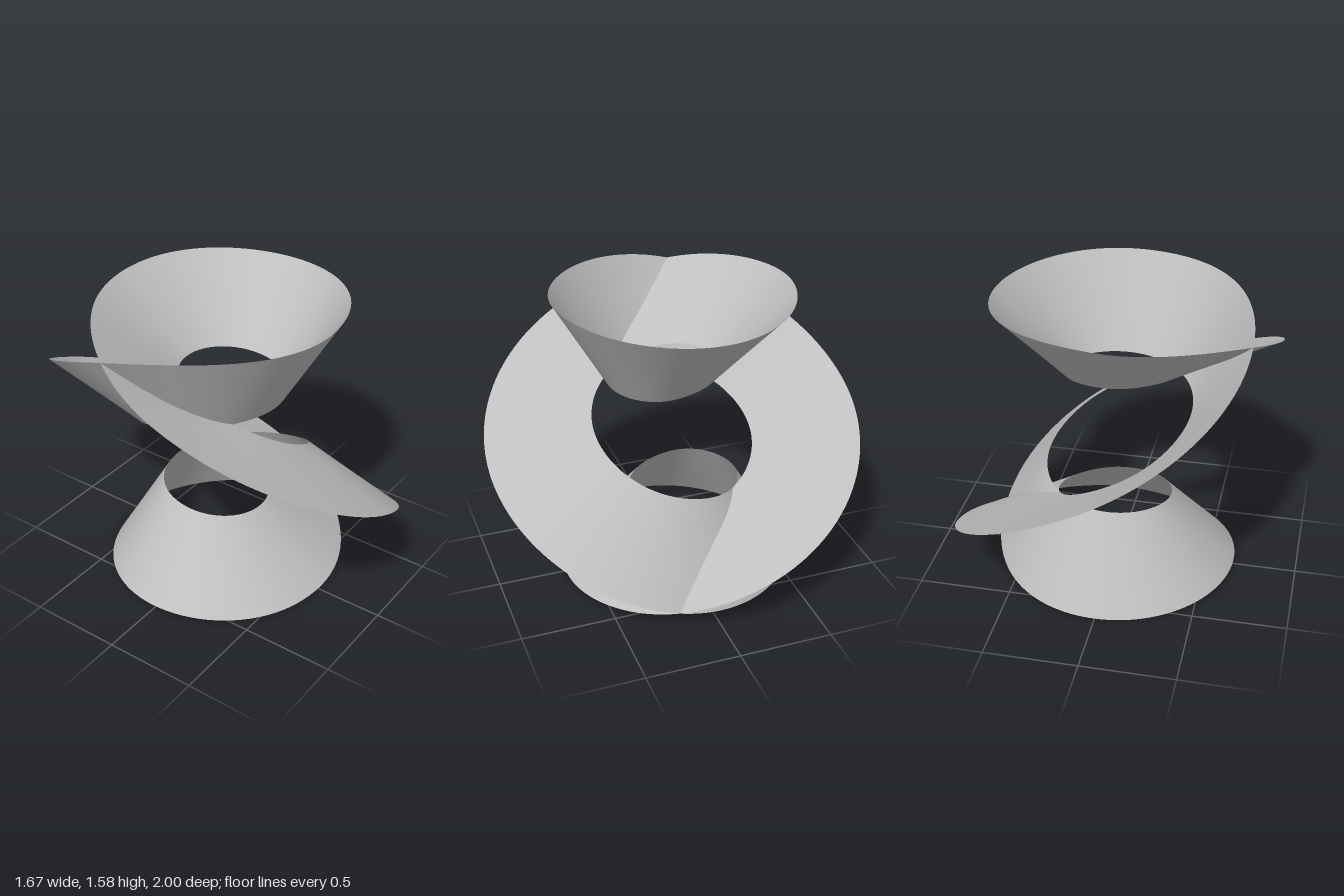
import * as THREE from 'three';

const RAD = Math.PI / 180;
const CENTRE_Y = 0.795;

// Latitude knots [azimuth, latitude] in degrees over one half (540 degrees);
// the other half repeats them with the sign flipped.
const outerEdge = {
  radius: 1.007,
  knots: [[17, -42.4], [90, -7], [166.5, 31.6], [197, 42.4], [270, 51.3], [353, 49.3], [450, 51.3]],
};
const innerEdge = {
  radius: 0.455,
  knots: [[-42, -37], [26, -21], [85, 8.3], [138, 37], [200, 54], [270, 58], [360, 49], [386, 45], [450, 40.5]],
};

// Smooth cubic interpolation through the repeating knots
function latitude(knots, azimuth) {
  const n = knots.length;
  const knot = (i) => {
    const turn = Math.floor(i / n);
    const [a, v] = knots[i - turn * n];
    return [a + 540 * turn, turn % 2 ? -v : v];
  };
  const slope = (i) => {
    const [a0, v0] = knot(i - 1), [a1, v1] = knot(i), [a2, v2] = knot(i + 1);
    const d0 = (v1 - v0) / (a1 - a0), d1 = (v2 - v1) / (a2 - a1);
    return (d0 * (a2 - a1) + d1 * (a1 - a0)) / (a2 - a0);
  };
  let i = -n;
  while (knot(i + 1)[0] <= azimuth) i++;
  const [a, v] = knot(i), [b, w] = knot(i + 1);
  const h = b - a, t = (azimuth - a) / h, t2 = t * t, t3 = t2 * t;
  return v * (2 * t3 - 3 * t2 + 1) + w * (3 * t2 - 2 * t3)
    + h * (slope(i) * (t3 - 2 * t2 + t) + slope(i + 1) * (t3 - t2));
}

// Point of an edge curve on its sphere
function edgePoint({ radius, knots }, azimuth) {
  const lat = latitude(knots, azimuth) * RAD, az = azimuth * RAD;
  return new THREE.Vector3(
    radius * Math.cos(lat) * Math.cos(az),
    CENTRE_Y + radius * Math.sin(lat),
    radius * Math.cos(lat) * Math.sin(az),
  );
}

export function createModel() {
  const group = new THREE.Group();
  const grey = new THREE.MeshStandardMaterial({ color: 0xbfbfbf, side: THREE.DoubleSide });
  grey.name = 'grey';

  // Closed ribbon: three turns of straight rulings between the two edges
  const segments = 540, across = 10, row = across + 1;
  const positions = [], indices = [];
  for (let i = 0; i < segments; i++) {
    const azimuth = (i / segments) * 1080;
    const outer = edgePoint(outerEdge, azimuth), inner = edgePoint(innerEdge, azimuth);
    for (let j = 0; j <= across; j++) {
      positions.push(...inner.clone().lerp(outer, j / across).toArray());
    }
    for (let j = 0; j < across; j++) {
      const a = i * row + j, b = ((i + 1) % segments) * row + j;
      indices.push(a, b, a + 1, b, b + 1, a + 1);
    }
  }
  const geometry = new THREE.BufferGeometry();
  geometry.setAttribute('position', new THREE.Float32BufferAttribute(positions, 3));
  geometry.setIndex(indices);
  geometry.computeVertexNormals();

  const ribbon = new THREE.Mesh(geometry, grey);
  ribbon.name = 'loopedRibbon';
  group.add(ribbon);
  return group;
}
